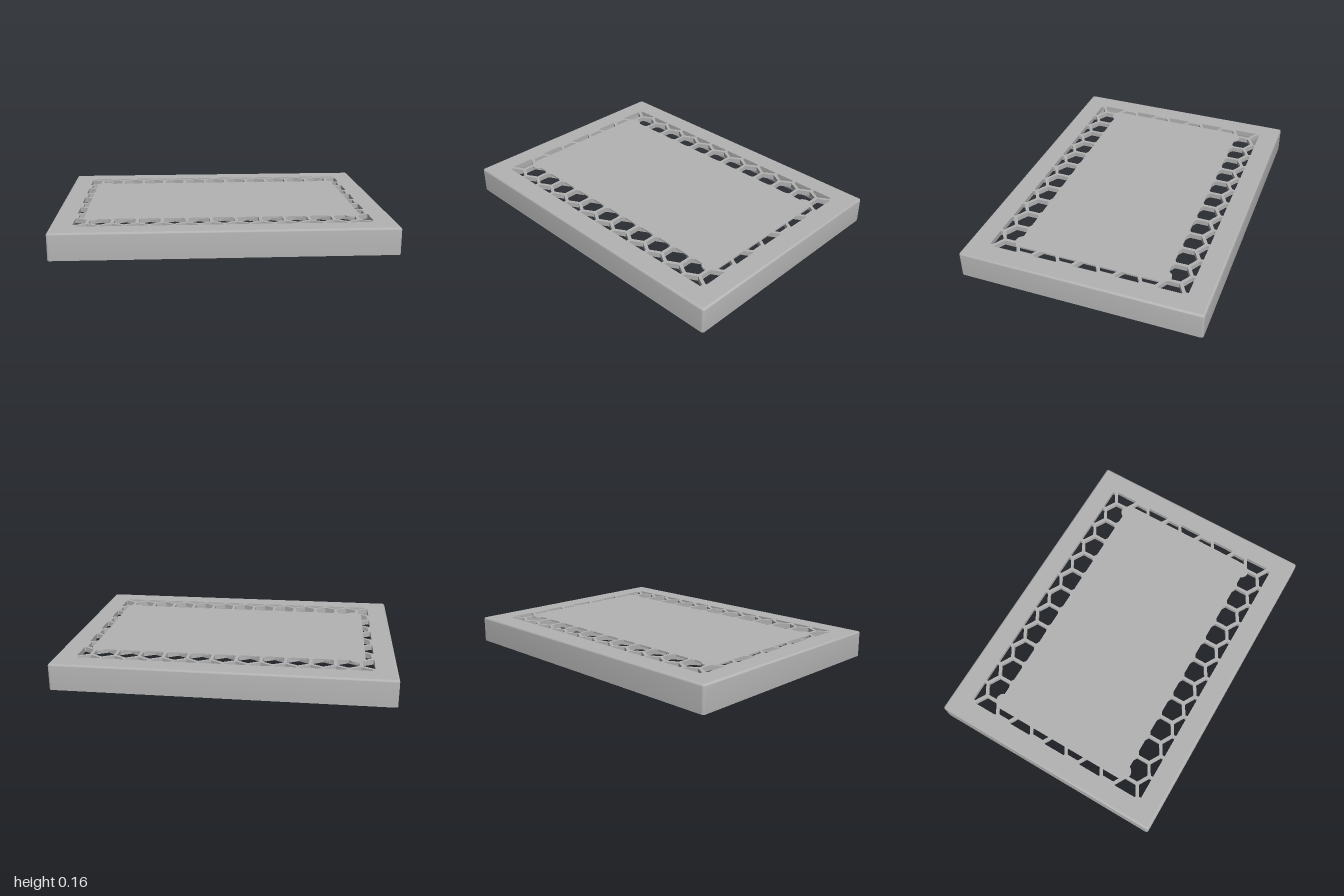
import * as THREE from 'three';
import { toCreasedNormals } from 'three/addons/utils/BufferGeometryUtils.js';

const HALF_X = 1, HALF_Z = 0.735, HEIGHT = 0.16;
const WALL = 0.012, CORNER = 0.014, FILLET = 0.012;
const PLATE_BOTTOM = 0.13;
const PITCH = 0.1445, ROW = PITCH * Math.sqrt(3) / 2, HOLE_R = 0.0722;
const CLIP_X = 0.873, CLIP_Z = 0.605;

// Rounded rectangle loop, inset from the outer edge
function outline(inset) {
  const r = CORNER - inset, pts = [];
  const signs = [[1, 1], [-1, 1], [-1, -1], [1, -1]];
  signs.forEach(([sx, sz], q) => {
    for (let i = 0; i <= 4; i++) {
      const a = (q + i / 4) * Math.PI / 2;
      pts.push(new THREE.Vector2(
        sx * (HALF_X - CORNER) + r * Math.cos(a),
        sz * (HALF_Z - CORNER) + r * Math.sin(a)));
    }
  });
  return pts;
}

// Thin skirt wall: a closed profile swept round the outline
function skirtGeometry() {
  const profile = [[WALL, 0], [0, 0], [0, HEIGHT - FILLET]];
  for (let i = 1; i <= 4; i++) {
    const a = i / 4 * Math.PI / 2;
    profile.push([FILLET * (1 - Math.cos(a)), HEIGHT - FILLET + FILLET * Math.sin(a)]);
  }
  const loops = profile.map(([inset, y]) => outline(inset).map(p => [p.x, y, p.y]));
  const n = loops[0].length, m = loops.length, index = [];
  for (let i = 0; i < m; i++) {
    for (let j = 0; j < n; j++) {
      const i2 = (i + 1) % m, j2 = (j + 1) % n;
      const a = i * n + j, b = i * n + j2, c = i2 * n + j, d = i2 * n + j2;
      index.push(a, c, b, b, c, d);
    }
  }
  const g = new THREE.BufferGeometry();
  g.setAttribute('position', new THREE.Float32BufferAttribute(loops.flat(2), 3));
  g.setIndex(index);
  return toCreasedNormals(g, 0.6);
}

// Keep the part of a polygon where s * p[axis] <= limit
function clip(poly, axis, s, limit) {
  const out = [];
  poly.forEach((p, i) => {
    const q = poly[(i + 1) % poly.length];
    const dp = limit - s * p[axis], dq = limit - s * q[axis];
    if (dp >= 0) out.push(p);
    if (dp * dq < 0) out.push(p.clone().lerp(q, dp / (dp - dq)));
  });
  return out;
}

// Hexagonal cells, trimmed to the window in the plate
function honeycomb() {
  const cells = [];
  for (let k = -5; k <= 5; k++) {
    const odd = Math.abs(k) % 2;
    for (let j = -6; j <= 6 - odd; j++) {
      let hex = [];
      for (let i = 0; i < 6; i++) {
        const a = Math.PI / 6 + i * Math.PI / 3;
        hex.push(new THREE.Vector2(
          (j + odd / 2) * PITCH + HOLE_R * Math.cos(a),
          k * ROW + HOLE_R * Math.sin(a)));
      }
      for (const s of [1, -1]) {
        hex = clip(hex, 'x', s, CLIP_X);
        hex = clip(hex, 'y', s, CLIP_Z);
      }
      if (hex.length > 2) cells.push(new THREE.Path(hex));
    }
  }
  return cells;
}

// Extrude a flat shape upwards from y0 to y1
function slab(shape, y0, y1) {
  const g = new THREE.ExtrudeGeometry(shape, { depth: y1 - y0, bevelEnabled: false, curveSegments: 24 });
  return g.rotateX(-Math.PI / 2).translate(0, y0, 0);
}

export function createModel() {
  const model = new THREE.Group();
  model.name = 'ventedLid';
  const grey = new THREE.MeshStandardMaterial({ color: 0xb3b3b3 });
  grey.name = 'grey';
  const add = (name, geometry, x = 0, y = 0, z = 0) => {
    const mesh = new THREE.Mesh(geometry, grey);
    mesh.name = name;
    mesh.position.set(x, y, z);
    model.add(mesh);
    return mesh;
  };

  add('skirtWall', skirtGeometry());

  // Top plate pierced by the honeycomb
  const plate = new THREE.Shape(outline(WALL));
  plate.holes = honeycomb();
  add('honeycombPlate', slab(plate, PLATE_BOTTOM, HEIGHT));

  // Solid centre panel closing the inner cells from above
  const px = 0.824, pz = 0.453;
  const panel = new THREE.Shape([
    new THREE.Vector2(-px, -pz), new THREE.Vector2(px, -pz),
    new THREE.Vector2(px, pz), new THREE.Vector2(-px, pz)]);
  add('centrePanel', slab(panel, HEIGHT - 0.01, HEIGHT + 0.0003));

  // Round lugs at the panel corners
  const lug = new THREE.CylinderGeometry(0.045, 0.045, 0.01, 24);
  for (const sx of [1, -1]) {
    for (const sz of [1, -1]) add('panelLug', lug, sx * 0.772, HEIGHT - 0.005, sz * 0.436);
  }

  // Small snap bumps inside the long walls
  const bump = new THREE.SphereGeometry(0.012, 16, 10);
  for (const sz of [1, -1]) {
    for (const x of [-0.69, 0, 0.69]) add('snapBump', bump, x, 0.065, sz * (HALF_Z - WALL));
  }
  return model;
}
